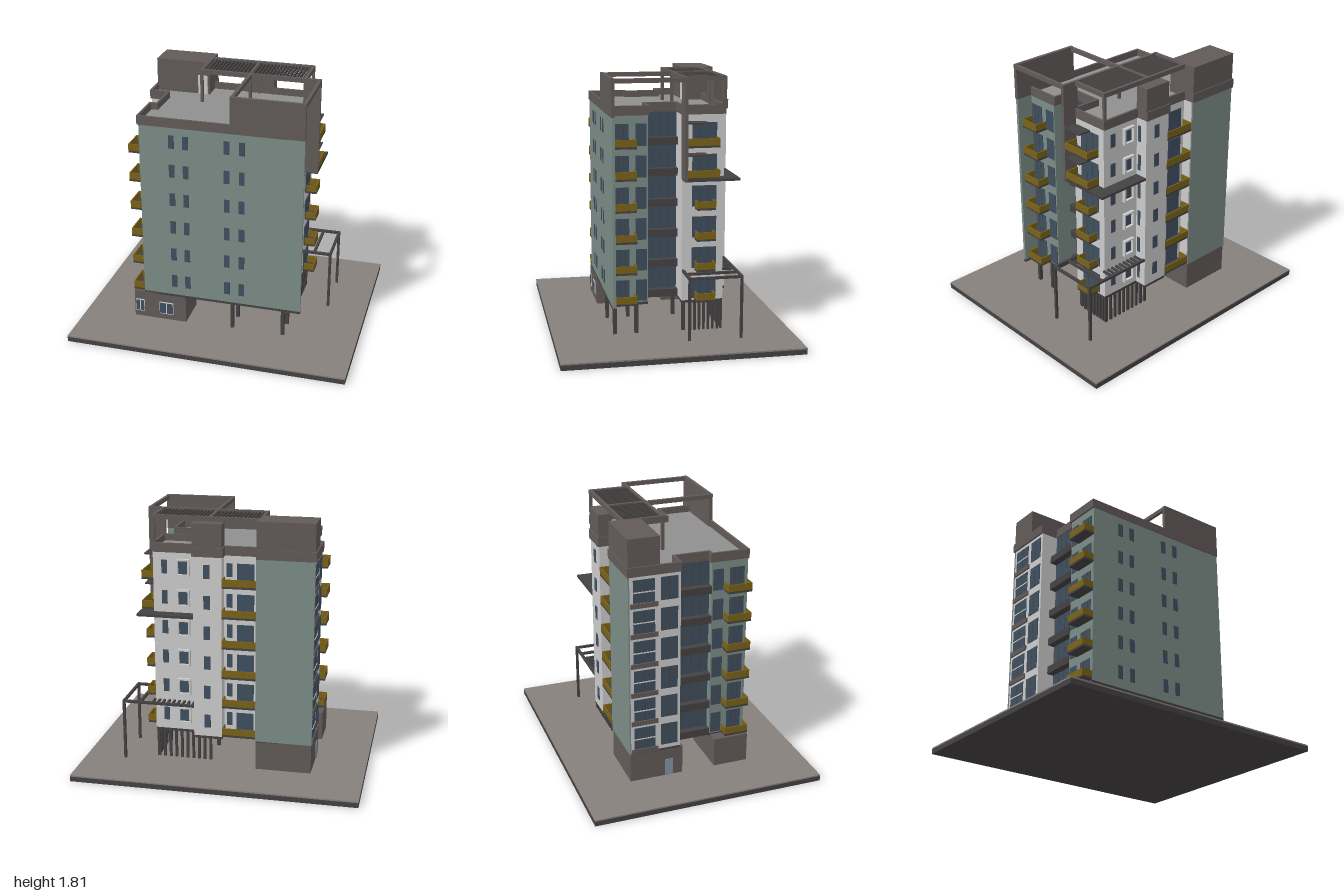
import * as THREE from 'three';

const colours = {
  ground: 0x86807d, brown: 0x615a58, green: 0x7b8c86, white: 0xcccccc, roof: 0x8f8f90,
  glass: 0x3f4e5e, yellow: 0x7a6218, dark: 0x444141, pane: 0x7f95a5,
};
const FLOORS = 6, FLOOR_Y = 0.265, PITCH = 0.215;

export function createModel() {
  const model = new THREE.Group();
  const mats = {};
  for (const k in colours) mats[k] = new THREE.MeshStandardMaterial({ color: colours[k] });

  // Box between two extents on each axis
  const box = (name, mat, x0, x1, y0, y1, z0, z1) => {
    const m = new THREE.Mesh(new THREE.BoxGeometry(x1 - x0, y1 - y0, z1 - z0), mats[mat]);
    m.position.set((x0 + x1) / 2, (y0 + y1) / 2, (z0 + z1) / 2);
    m.name = name;
    model.add(m);
  };
  // Upright prism over a floor plan of [x, z] corners
  const prism = (name, mat, plan, y0, y1) => {
    const shape = new THREE.Shape(plan.map(([x, z]) => new THREE.Vector2(x, -z)));
    const g = new THREE.ExtrudeGeometry(shape, { depth: y1 - y0, bevelEnabled: false });
    g.rotateX(-Math.PI / 2).translate(0, y0, 0);
    const m = new THREE.Mesh(g, mats[mat]);
    m.name = name;
    model.add(m);
  };
  // Open-topped balcony: dark slab, three-sided coloured rail on the outer sides
  const balcony = (x0, x1, y, z0, z1, wall) => {
    const t = 0.008, top = y + 0.06;
    box('balconySlab', 'dark', x0, x1, y - 0.003, y + 0.012, z0, z1);
    if (wall !== '-x') box('balconyRail', 'yellow', x0, x0 + t, y + 0.01, top, z0, z1);
    if (wall !== '+x') box('balconyRail', 'yellow', x1 - t, x1, y + 0.01, top, z0, z1);
    if (wall !== '-z') box('balconyRail', 'yellow', x0, x1, y + 0.01, top, z0, z0 + t);
    if (wall !== '+z') box('balconyRail', 'yellow', x0, x1, y + 0.01, top, z1 - t, z1);
  };
  // Window frame with glass, on a wall facing x or z
  const windowX = (x, y0, y1, z0, z1, bars = 1) => {
    box('windowPane', 'glass', x - 0.004, x + 0.004, y0, y1, z0, z1);
    for (let i = 1; i <= bars; i++) {
      const z = z0 + (z1 - z0) * i / (bars + 1);
      box('windowBar', 'dark', x - 0.005, x + 0.005, y0, y1, z - 0.002, z + 0.002);
    }
  };
  const windowZ = (z, y0, y1, x0, x1) =>
    box('windowPane', 'glass', x0, x1, y0, y1, z - 0.004, z + 0.004);

  // Ground plate
  box('groundPlate', 'dark', -1, 1, 0, 0.035, -0.82, 0.82);
  box('paving', 'ground', -1, 1, 0.035, 0.045, -0.82, 0.82);

  // Ground floor rooms and columns
  box('frontGroundRoom', 'brown', -0.63, -0.24, 0.045, 0.255, 0.17, 0.42);
  box('rearGroundRoom', 'brown', -0.63, -0.24, 0.045, 0.255, -0.45, -0.07);
  for (const [x0, x1] of [[-0.62, -0.555], [-0.44, -0.335]]) {
    box('groundWindowFrame', 'white', x0, x1, 0.09, 0.185, 0.415, 0.425);
    const w = (x1 - x0) / 2;
    for (const x of [x0, x0 + w])
      box('groundWindowPane', 'glass', x + 0.004, x + w - 0.004, 0.096, 0.179, 0.42, 0.427);
  }
  box('groundDoor', 'pane', -0.635, -0.625, 0.045, 0.17, -0.2, -0.14);
  for (const x of [0.09, 0.46]) for (const z of [0.38, 0.23, -0.1])
    box('column', 'dark', x, x + 0.025, 0.045, 0.26, z, z + 0.025);

  // Slatted screens under the rear corner
  for (let i = 0; i < 10; i++) {
    const x = 0.095 + i * 0.042, z = -0.43 + i * 0.032;
    box('screenSlat', 'dark', x, x + 0.018, 0.045, 0.255, -0.36, -0.345);
    box('screenSlat', 'dark', 0.48, 0.495, 0.045, 0.255, Math.max(z, -0.36) , Math.max(z, -0.36) + 0.016);
  }

  // Upper storeys
  const frontPlan = [[-0.55, 0.42], [0.48, 0.42], [0.48, 0.16], [0.3, 0.16], [0.3, -0.08],
    [-0.5, -0.08], [-0.5, 0.16], [-0.55, 0.16]];
  const rearPlan = [[0.3, -0.07], [0.5, -0.07], [0.5, -0.36], [0.2, -0.36], [0.2, -0.45], [0, -0.45],
    [0, -0.37], [-0.24, -0.37], [-0.24, -0.45], [-0.63, -0.45], [-0.63, -0.09], [-0.5, -0.09], [-0.5, -0.07]];
  prism('frontBlock', 'green', frontPlan, 0.265, 1.56);
  prism('rearBlock', 'white', rearPlan, 0.265, 1.56);
  for (const plan of [frontPlan, rearPlan]) {
    prism('baseSlab', 'dark', plan, 0.247, 0.265);
    prism('roofDeck', 'roof', plan, 1.56, 1.572);
  }
  box('rearGreenWall', 'green', -0.633, -0.237, 0.255, 1.56, -0.455, -0.445);
  box('frontWing', 'green', 0.47, 0.6, 0.265, 1.56, 0.4, 0.42);
  box('frontWingBase', 'dark', 0.47, 0.6, 0.247, 0.265, 0.4, 0.42);

  // Parapet following the outer outline
  const outline = [...frontPlan.slice(0, 4), ...rearPlan.slice(0, 12), ...frontPlan.slice(6)];
  outline.forEach(([x, z], i) => {
    const [u, w] = outline[(i + 1) % outline.length];
    box('parapet', 'brown', Math.min(x, u) - 0.012, Math.max(x, u) + 0.004, 1.555, 1.62,
      Math.min(z, w) - 0.012, Math.max(z, w) + 0.004);
  });

  // Roof volumes, front screen wall and corner fin
  box('stairTower', 'brown', -0.633, -0.24, 1.555, 1.81, -0.455, -0.235);
  box('stairDoor', 'white', -0.325, -0.255, 1.57, 1.71, -0.24, -0.23);
  box('rearShaftTop', 'brown', -0.003, 0.203, 1.555, 1.78, -0.454, -0.36);
  box('frontScreenWall', 'brown', 0.09, 0.602, 1.558, 1.812, 0.4, 0.425);
  box('cornerFin', 'brown', 0.49, 0.602, 1.12, 1.81, -0.09, -0.068);

  // Roof beams and slatted pergola
  for (const x of [0.09, 0.58]) box('roofBeam', 'brown', x, x + 0.022, 1.78, 1.81, -0.09, 0.42);
  for (const z of [-0.37, -0.09]) box('pergolaBeam', 'brown', -0.26, 0.6 - (z < -0.1 ? 0.1 : 0), 1.78, 1.812, z, z + 0.02);
  for (const x of [-0.26, 0.09, 0.48]) {
    box('pergolaBeam', 'brown', x, x + 0.02, 1.78, 1.811, -0.37, -0.07);
    for (const z of [-0.37, -0.09]) box('pergolaPost', 'brown', x, x + 0.02, 1.565, 1.79, z, z + 0.02);
  }
  for (let x = -0.225; x < 0.475; x += 0.0255)
    box('pergolaSlat', 'dark', x, x + 0.013, 1.785, 1.803, -0.36, -0.08);

  for (let f = 0; f < FLOORS; f++) {
    const y = FLOOR_Y + f * PITCH, sill = y + 0.065, head = y + 0.16;

    // Front windows
    for (const x of [-0.34, -0.24, 0.05, 0.155]) windowZ(0.42, sill, head, x, x + 0.04);

    // Glazed recesses on both sides with spandrel ledges
    windowX(0.302, y, y + PITCH, -0.07, 0.16, 3);
    windowX(-0.502, y, y + PITCH, -0.09, 0.16, 3);
    box('recessLedge', 'dark', 0.29, 0.36, y - 0.008, y + 0.045, -0.07, 0.16);
    box('recessLedge', 'dark', -0.555, -0.49, y - 0.008, y + 0.045, -0.09, 0.16);

    // Side balconies of the front block
    balcony(0.478, 0.57, y + 0.005, 0.25, 0.4, '-x');
    balcony(-0.63, -0.548, y + 0.005, 0.25, 0.42, '+x');
    for (const x of [0.48, -0.55]) {
      windowX(x, y + 0.015, head, 0.29, 0.395, 2);
      windowX(x, y + 0.01, head, 0.17, 0.245, 0);
    }

    // Right side of the rear block
    const wide = f >= 4;
    balcony(0.498, wide ? 0.6 : 0.58, y + 0.005, wide ? -0.31 : -0.29, wide ? -0.09 : -0.16, '-x');
    windowX(0.5, y + 0.015, head, -0.31, -0.14, 2);
    if (wide) box('balconyCanopy', 'dark', 0.49, 0.6, y + 0.16, y + 0.17, -0.23, -0.09);
    windowX(0.2, sill - 0.02, head, -0.4, -0.375, 0);

    // Rear balconies, shaft windows and projecting window frames
    balcony(-0.24, 0, y + 0.005, -0.45, -0.368, '+z');
    windowZ(-0.37, y + 0.015, head, -0.21, -0.09);
    windowZ(-0.37, sill, head, -0.06, -0.02);
    windowZ(-0.45, sill, head, 0.08, 0.125);
    windowZ(-0.36, sill, head, 0.25, 0.32);
    for (const x of [0.24, 0.32]) box('windowSurround', 'white', x, x + 0.012, sill - 0.012, head + 0.012, -0.385, -0.355);
    for (const h of [sill - 0.012, head]) box('windowSurround', 'white', 0.24, 0.332, h, h + 0.012, -0.385, -0.355);
    windowZ(-0.36, sill, head, 0.4, 0.44);

    // Stair glazing on the left side
    windowX(-0.63, y + 0.03, y + 0.19, -0.42, -0.27, 1);
    box('stairTransom', 'white', -0.637, -0.625, y + 0.1, y + 0.108, -0.42, -0.27);
    box('stairLedge', 'brown', -0.64, -0.62, y - 0.005, y + 0.028, -0.44, -0.25);
    windowX(-0.63, y + 0.03, y + 0.19, -0.23, -0.11, 1);
  }

  // Corner canopy at mid height
  prism('cornerCanopy', 'dark', [[0.2, -0.45], [0.6, -0.45], [0.6, -0.07], [0.49, -0.07], [0.49, -0.35], [0.2, -0.35]], 1.113, 1.13);

  // Ground level pergola
  for (const z of [-0.45, -0.09]) {
    box('porchBeam', 'dark', z < -0.1 ? 0.2 : 0.5, 0.722, 0.468, 0.486, z, z + 0.018);
    box('porchPost', 'dark', 0.704, 0.722, 0.045, 0.47, z, z + 0.018);
  }
  for (const x of [0.585, 0.704]) box('porchBeam', 'dark', x, x + 0.018, 0.468, 0.485, -0.45, -0.072);
  for (let i = 0; i < 9; i++)
    box('porchSlat', 'dark', 0.21 + i * 0.036, 0.225 + i * 0.036, 0.47, 0.484, -0.44, -0.355);

  return model;
}
